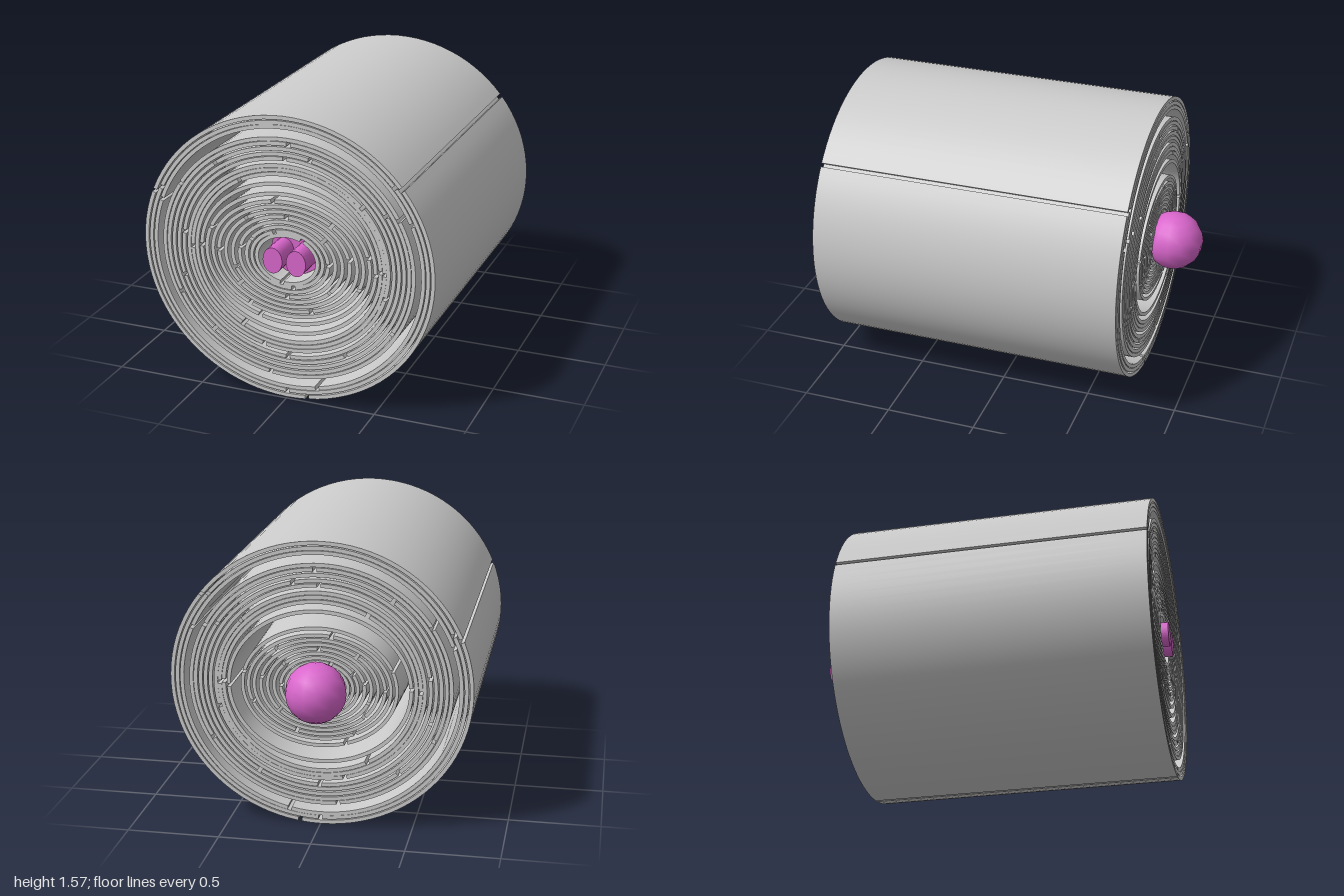
import * as THREE from 'three';
import { toCreasedNormals } from 'three/addons/utils/BufferGeometryUtils.js';

const CY = 0.785, FRONT = 0.985, LENGTH = 1.715, THICK = 0.021;
const grey = new THREE.MeshStandardMaterial({ color: 0xcccccc, side: THREE.DoubleSide });
const pink = new THREE.MeshStandardMaterial({ color: 0xd966cc });

// Wrapped layers, outside in: half width, half height, then the seam angles in degrees
const layers = [
  [0.805, 0.775, [38, 158, 278]],
  [0.778, 0.748, [40, 155, 270]],
  [0.752, 0.725, [24, 160, 283]],
  [0.7, 0.66, [28, 148, 262]],
  [0.676, 0.636, [88, 205, 330]],
  [0.648, 0.608, [32, 127, 229]],
  [0.62, 0.578, [77, 197, 302]],
  [0.592, 0.553, [90, 172, 270]],
  [0.562, 0.515, [42, 256, 345]],
  [0.54, 0.492, [0, 180]],
  [0.517, 0.468, [1, 120, 240]],
  [0.49, 0.415, [178, 358]],
  [0.46, 0.36, [12, 160, 250]],
  [0.425, 0.318, [100, 240, 340]],
  [0.39, 0.29, [50, 180, 290]],
  [0.35, 0.263, [10, 130, 220]],
  [0.31, 0.236, [90, 200, 320]],
  [0.27, 0.208, [40, 170, 270]],
  [0.23, 0.18, [0, 150]],
  [0.2, 0.155, [110, 280]],
  [0.172, 0.135, [60, 260]],
];

// Curved sheet: an elliptical band pushed along z, narrowing towards the back
function sheetGeometry(rx, ry, from, to, backScale) {
  const steps = Math.max(10, Math.ceil((to - from) / 4));
  const outer = [], inner = [];
  for (let i = 0; i <= steps; i++) {
    const a = THREE.MathUtils.degToRad(from + (to - from) * i / steps);
    const c = Math.cos(a), s = Math.sin(a), h = THICK / 2;
    outer.push(new THREE.Vector2((rx + h) * c, (ry + h) * s));
    inner.push(new THREE.Vector2((rx - h) * c, (ry - h) * s));
  }
  const shape = new THREE.Shape([...outer, ...inner.reverse()]);
  const geometry = new THREE.ExtrudeGeometry(shape, { depth: LENGTH, bevelEnabled: false });
  const p = geometry.attributes.position;
  for (let i = 0; i < p.count; i++) {
    const k = THREE.MathUtils.lerp(backScale, 1, p.getZ(i) / LENGTH);
    p.setXY(i, p.getX(i) * k, p.getY(i) * k);
  }
  return toCreasedNormals(geometry, 0.5);
}

function add(parent, name, geometry, material, x, y, z) {
  const mesh = new THREE.Mesh(geometry, material);
  mesh.name = name;
  mesh.position.set(x, y, z);
  parent.add(mesh);
  return mesh;
}

export function createModel() {
  const model = new THREE.Group();
  model.name = 'wrappedFigure';

  // Rolled blanket, each layer a little further back than the one around it
  const wrap = new THREE.Group();
  wrap.name = 'rolledBlanket';
  model.add(wrap);
  layers.forEach(([rx, ry, seams], n) => {
    const backScale = ry < 0.4 ? 0.9 : 1;
    const gap = 1.2 / rx;
    seams.forEach((start, i) => {
      const end = i + 1 < seams.length ? seams[i + 1] : seams[0] + 360;
      const geometry = sheetGeometry(rx, ry, start + gap / 2, end - gap / 2, backScale);
      add(wrap, 'blanketSheet', geometry, grey, 0, CY, FRONT - LENGTH - Math.min(n * 0.002, 0.02));
    });
  });

  // Figure lying inside, head at the back and feet at the front
  const figure = new THREE.Group();
  figure.name = 'figure';
  model.add(figure);
  add(figure, 'head', new THREE.SphereGeometry(0.163, 14, 10), pink, 0, CY, -0.837);
  const torso = new THREE.CylinderGeometry(0.125, 0.125, 1.55, 16).rotateX(Math.PI / 2).scale(1.15, 1, 1);
  add(figure, 'torso', torso, pink, 0, CY, 0.07);
  for (const side of [1, -1]) {
    const leg = new THREE.CylinderGeometry(0.055, 0.055, 0.5, 20).rotateX(Math.PI / 2).scale(1, 1.3, 1);
    add(figure, side > 0 ? 'leftLeg' : 'rightLeg', leg, pink, side * 0.066, CY, 0.75);
  }
  return model;
}
